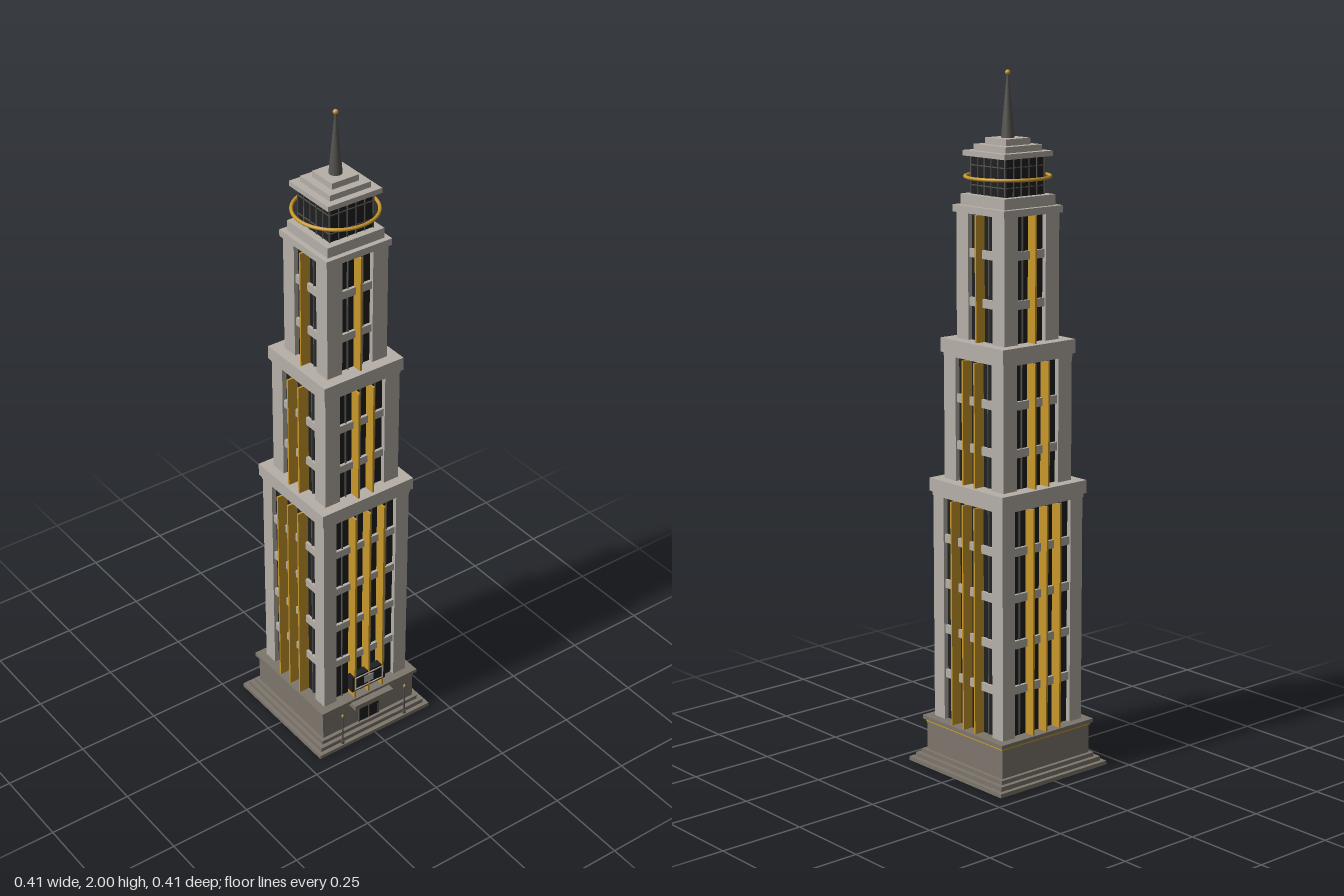
import * as THREE from 'three';

const mat = (name, color, extra) => Object.assign(new THREE.MeshStandardMaterial({ color }), { name });
const stone = mat('light stone', 0xb6b0a8);
const darkStone = mat('dark stone', 0x7d766c);
const glass = mat('dark glass', 0x1f2022);
const gold = mat('gold', 0xc9982a);
const metal = mat('dark metal', 0x55534f);

function add(parent, name, geometry, material, x = 0, y = 0, z = 0) {
  const mesh = new THREE.Mesh(geometry, material);
  mesh.name = name;
  mesh.position.set(x, y, z);
  parent.add(mesh);
  return mesh;
}

// Box given by its x, y and z ranges
function box(parent, name, material, [x0, x1], [y0, y1], [z0, z1]) {
  return add(parent, name, new THREE.BoxGeometry(x1 - x0, y1 - y0, z1 - z0), material,
    (x0 + x1) / 2, (y0 + y1) / 2, (z0 + z1) / 2);
}

// Centred square slab with half width h
const slab = (parent, name, material, h, y0, y1) =>
  box(parent, name, material, [-h, h], [y0, y1], [-h, h]);

// One setback of the tower: recessed glass core, corner piers, spandrels and fins
function tier(name, { half, win, fin, y0, y1, spandrels, fins, mullions }) {
  const g = new THREE.Group();
  g.name = name;
  const core = half - 0.014;
  slab(g, 'windows', glass, core, y0, y1);
  for (const sx of [-1, 1]) for (const sz of [-1, 1]) {
    const w = half - win, c = (half + win) / 2;
    add(g, 'cornerPier', new THREE.BoxGeometry(w, y1 - y0, w), stone, sx * c, (y0 + y1) / 2, sz * c);
  }
  for (let side = 0; side < 4; side++) {
    const face = new THREE.Group();
    face.name = 'facade';
    face.rotation.y = side * Math.PI / 2;
    for (const y of spandrels)
      box(face, 'spandrel', stone, [-win, win], [y - 0.012, y + 0.012], [core - 0.005, half - 0.005]);
    for (const x of mullions)
      box(face, 'mullion', metal, [x - 0.0015, x + 0.0015], [y0, y1], [core - 0.003, core + 0.005]);
    for (const x of fins)
      box(face, 'goldFin', gold, [x - 0.003, x + 0.003], [y0, y1], [core - 0.005, fin]);
    g.add(face);
  }
  return g;
}

export function createModel() {
  const model = new THREE.Group();
  model.name = 'skyscraper';

  // Stepped base and lobby
  const base = new THREE.Group();
  base.name = 'base';
  slab(base, 'plinth', darkStone, 0.203, 0, 0.012);
  slab(base, 'middleStep', darkStone, 0.19, 0.012, 0.025);
  slab(base, 'upperStep', darkStone, 0.177, 0.025, 0.037);
  slab(base, 'lobby', darkStone, 0.166, 0.037, 0.122);
  slab(base, 'goldBand', gold, 0.169, 0.122, 0.129);
  slab(base, 'lobbyCornice', darkStone, 0.175, 0.129, 0.14);
  model.add(base);

  // Entrance: doors, canopy and framed panel
  const entrance = new THREE.Group();
  entrance.name = 'entrance';
  box(entrance, 'doorway', glass, [-0.036, 0.036], [0.037, 0.112], [0.16, 0.169]);
  for (const x of [-0.036, 0, 0.036])
    box(entrance, 'doorFrame', metal, [x - 0.002, x + 0.002], [0.037, 0.112], [0.165, 0.171]);
  box(entrance, 'canopy', darkStone, [-0.07, 0.07], [0.116, 0.132], [0.16, 0.197]);
  box(entrance, 'canopyTrim', gold, [-0.066, 0.066], [0.112, 0.116], [0.16, 0.194]);
  box(entrance, 'panel', glass, [-0.06, 0.06], [0.163, 0.22], [0.145, 0.168]);
  for (const s of [-1, 1]) {
    box(entrance, 'panelFrame', stone, [s * 0.05 - 0.0015, s * 0.05 + 0.0015], [0.17, 0.213], [0.165, 0.171]);
    const y = 0.1915 + s * 0.021;
    box(entrance, 'panelFrame', stone, [-0.05, 0.05], [y - 0.0015, y + 0.0015], [0.165, 0.171]);
  }
  box(entrance, 'panelPlate', stone, [-0.016, 0.016], [0.179, 0.204], [0.165, 0.17]);
  model.add(entrance);

  // Street lamps
  for (const s of [-1, 1]) {
    const lamp = new THREE.Group();
    lamp.name = 'lamp';
    lamp.position.set(s * 0.115, 0.012, 0.194);
    add(lamp, 'lampFoot', new THREE.CylinderGeometry(0.005, 0.006, 0.01, 12), metal, 0, 0.005);
    add(lamp, 'lampPost', new THREE.CylinderGeometry(0.0022, 0.003, 0.1, 10), metal, 0, 0.05);
    add(lamp, 'lampHead', new THREE.SphereGeometry(0.006, 12, 8), metal, 0, 0.102);
    add(lamp, 'lampTip', new THREE.SphereGeometry(0.0035, 12, 8), gold, 0, 0.108);
    model.add(lamp);
  }

  // Three setbacks
  model.add(tier('lowerTier', {
    half: 0.15, win: 0.105, fin: 0.169, y0: 0.14, y1: 0.8,
    spandrels: [0.278, 0.411, 0.546, 0.68], fins: [-0.05, 0, 0.05], mullions: [-0.078, -0.025, 0.025, 0.078],
  }));
  model.add(tier('middleTier', {
    half: 0.127, win: 0.077, fin: 0.146, y0: 0.85, y1: 1.205,
    spandrels: [0.954, 1.089], fins: [-0.025, 0.025], mullions: [-0.05, 0, 0.05],
  }));
  model.add(tier('upperTier', {
    half: 0.101, win: 0.051, fin: 0.118, y0: 1.255, y1: 1.61,
    spandrels: [1.364, 1.5], fins: [0], mullions: [-0.025, 0.025],
  }));

  // Ledges between the setbacks
  slab(model, 'lowerLedgeNeck', stone, 0.152, 0.8, 0.812);
  slab(model, 'lowerLedge', stone, 0.158, 0.812, 0.85);
  slab(model, 'middleLedgeNeck', stone, 0.128, 1.205, 1.215);
  slab(model, 'middleLedge', stone, 0.134, 1.215, 1.255);
  slab(model, 'upperLedge', stone, 0.108, 1.61, 1.63);
  slab(model, 'crownBase', stone, 0.093, 1.63, 1.66);

  // Glazed crown with its gold ring
  const crown = new THREE.Group();
  crown.name = 'crown';
  slab(crown, 'crownWindows', glass, 0.071, 1.66, 1.765);
  for (let side = 0; side < 4; side++) {
    const face = new THREE.Group();
    face.name = 'crownFacade';
    face.rotation.y = side * Math.PI / 2;
    for (let i = 0; i < 6; i++) {
      const x = -0.071 + i * 0.0284;
      box(face, 'crownMullion', metal, [x - 0.0015, x + 0.0015], [1.66, 1.765], [0.069, 0.074]);
    }
    for (const y of [1.685, 1.74])
      box(face, 'crownRail', metal, [-0.072, 0.072], [y - 0.0015, y + 0.0015], [0.069, 0.073]);
    crown.add(face);
  }
  add(crown, 'goldRing', new THREE.TorusGeometry(0.118, 0.005, 12, 64), gold, 0, 1.709).rotation.x = Math.PI / 2;
  model.add(crown);

  // Stepped roof and spire
  slab(model, 'roofLower', stone, 0.088, 1.765, 1.78);
  slab(model, 'roofMiddle', stone, 0.067, 1.78, 1.797);
  slab(model, 'roofTop', stone, 0.044, 1.797, 1.815);
  add(model, 'spire', new THREE.CylinderGeometry(0.003, 0.019, 0.172, 24), metal, 0, 1.901);
  add(model, 'spireBall', new THREE.SphereGeometry(0.0075, 16, 12), gold, 0, 1.9925);
  return model;
}
